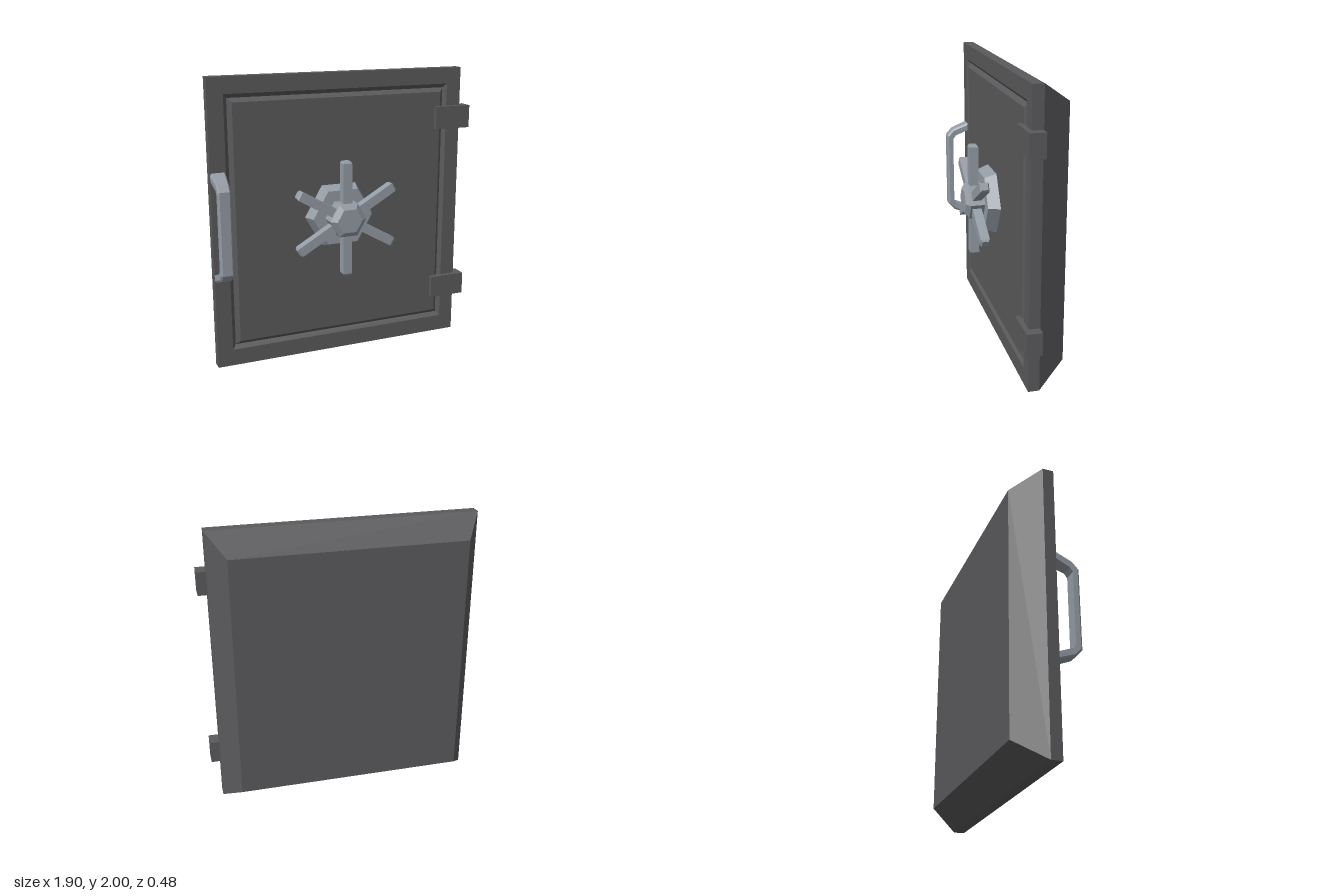
import * as THREE from 'three';

// Closed flat-shaded skin through a list of equal-length rings (counter-clockwise seen from the last ring's side)
function loft(rings) {
  const pos = [];
  const tri = (a, b, c) => pos.push(...a, ...b, ...c);
  const n = rings[0].length, first = rings[0], last = rings[rings.length - 1];
  for (let r = 0; r < rings.length - 1; r++) {
    const a = rings[r], b = rings[r + 1];
    for (let i = 0; i < n; i++) {
      const j = (i + 1) % n;
      tri(a[i], a[j], b[j]);
      tri(a[i], b[j], b[i]);
    }
  }
  for (let i = 1; i < n - 1; i++) {
    tri(first[0], first[i + 1], first[i]);
    tri(last[0], last[i], last[i + 1]);
  }
  const g = new THREE.BufferGeometry();
  g.setAttribute('position', new THREE.Float32BufferAttribute(pos, 3));
  g.computeVertexNormals();
  return g;
}

const rect = (x0, x1, y0, y1, z) => [[x0, y0, z], [x1, y0, z], [x1, y1, z], [x0, y1, z]];
const hex = (r, z) => Array.from({ length: 6 }, (_, i) =>
  [r * Math.cos(i * Math.PI / 3), r * Math.sin(i * Math.PI / 3), z]);

export function createModel() {
  const root = new THREE.Group();
  root.name = 'safeDoor';
  const iron = new THREE.MeshStandardMaterial({ color: 0x5a5a5c });
  iron.name = 'darkIron';
  const steel = new THREE.MeshStandardMaterial({ color: 0x949ca5 });
  steel.name = 'paleSteel';
  const add = (parent, name, geometry, material) => {
    const m = new THREE.Mesh(geometry, material);
    m.name = name;
    parent.add(m);
    return m;
  };

  // Door slab: tapered back, straight rim, V groove framing the front panel
  const front = 0.03;
  add(root, 'doorSlab', loft([
    rect(-0.83, 0.765, 0.135, 1.865, -0.242),
    rect(-0.955, 0.885, 0, 2, -0.045),
    rect(-0.955, 0.885, 0, 2, front),
    rect(-0.848, 0.778, 0.117, 1.888, front),
    rect(-0.822, 0.755, 0.145, 1.86, front - 0.025),
    rect(-0.792, 0.727, 0.173, 1.832, front),
  ]), iron);

  // Hinges
  for (const [name, y] of [['upperHinge', 1.65], ['lowerHinge', 0.37]]) {
    add(root, name, new THREE.BoxGeometry(0.267, 0.16, 0.106), iron).position.set(0.8165, y, 0.01);
  }

  // Pull handle: stations of outer (y, z), inner (y, z), half width; lower half mirrored
  const midY = 1.0025;
  const upper = [
    [1.38, 0.03, 1.325, 0.03, 0.052],
    [1.335, 0.145, 1.285, 0.125, 0.043],
    [1.285, 0.19, 1.255, 0.145, 0.043],
  ];
  const lower = upper.map(([a, b, c, d, w]) => [2 * midY - a, b, 2 * midY - c, d, w]).reverse();
  const handleRings = [...upper, ...lower].map(([oy, oz, iy, iz, w]) => {
    const sy = iy + (oy - iy) * 0.75, sz = iz + (oz - iz) * 0.75;
    const x = -0.902;
    return [[x + w, iy, iz], [x + w, sy, sz], [x + w - 0.01, oy, oz],
      [x - w + 0.01, oy, oz], [x - w, sy, sz], [x - w, iy, iz]];
  });
  add(root, 'pullHandle', loft(handleRings), steel);

  // Locking wheel: hexagonal base, hub and six spokes
  const wheel = new THREE.Group();
  wheel.name = 'lockingWheel';
  wheel.position.set(-0.055, 1.015, 0);
  root.add(wheel);
  add(wheel, 'wheelBase', loft([hex(0.25, front), hex(0.218, 0.113)]), steel);
  add(wheel, 'wheelHub', loft([hex(0.132, 0.1), hex(0.132, 0.212), hex(0.092, 0.242)]), steel);

  const square = (h, z) => rect(-h, h, -h, h, z);
  const spoke = loft([square(0.032, 0.05), square(0.032, 0.39), square(0.022, 0.405)]);
  spoke.rotateX(-Math.PI / 2); // length along +y
  for (let i = 0; i < 6; i++) {
    const s = add(wheel, 'wheelSpoke' + (i + 1), spoke, steel);
    s.rotation.z = i * Math.PI / 3;
    s.position.z = 0.167;
  }
  return root;
}
